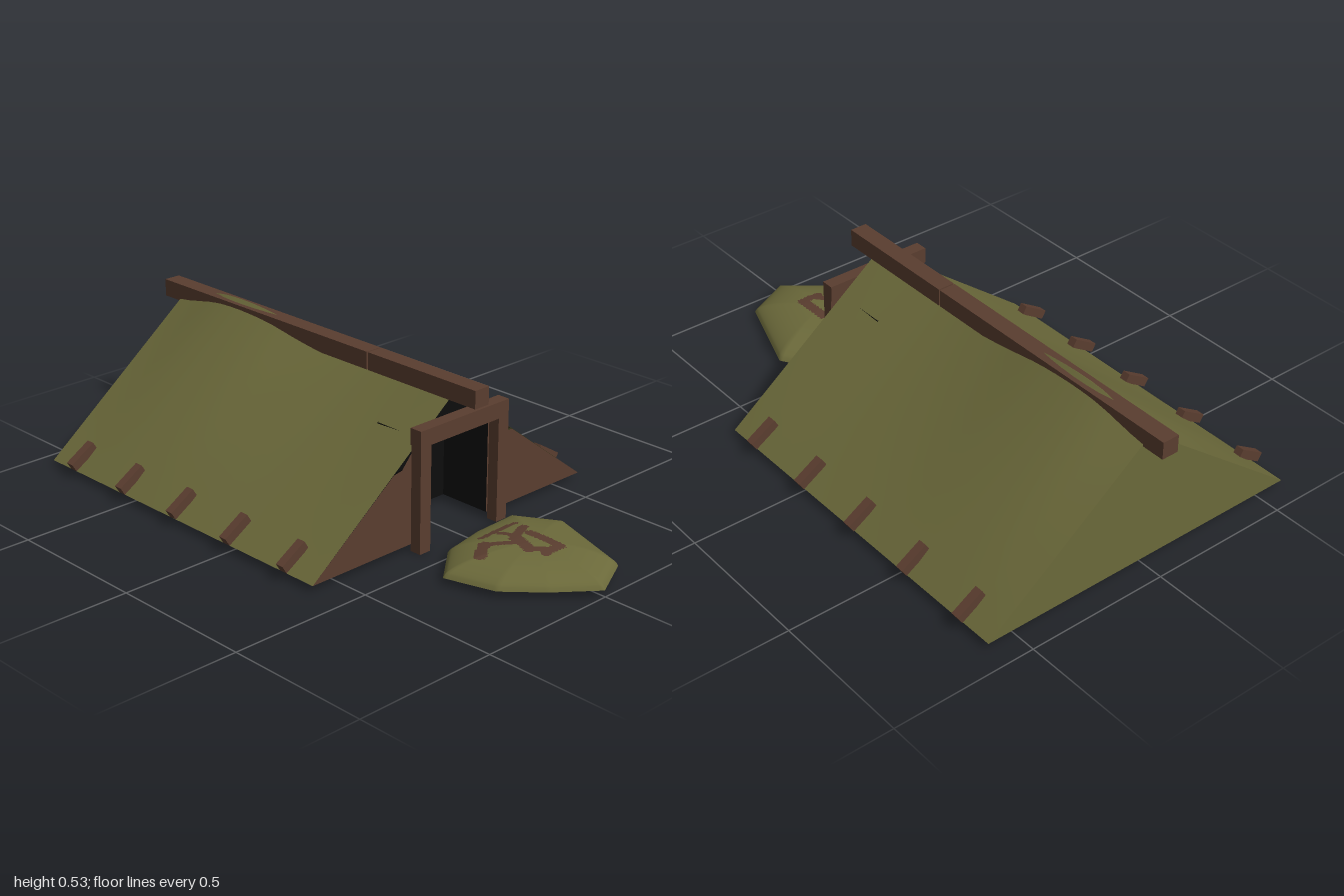
import * as THREE from 'three';

const flat = (name, color) => {
  const m = new THREE.MeshStandardMaterial({ color, side: THREE.DoubleSide });
  m.name = name;
  return m;
};

export function createModel() {
  const group = new THREE.Group();
  const olive = flat('olive cloth', 0x6b693a);
  const brown = flat('brown wood', 0x5a3d2f);
  const black = flat('dark interior', 0x0d0d0d);

  const add = (name, geometry, material, x = 0, y = 0, z = 0) => {
    const mesh = new THREE.Mesh(geometry, material);
    mesh.name = name;
    mesh.position.set(x, y, z);
    group.add(mesh);
    return mesh;
  };
  const box = (name, w, h, d, x, y, z, mat = brown) =>
    add(name, new THREE.BoxGeometry(w, h, d), mat, x, y, z);
  const panel = (name, points, z, mat) =>
    add(name, new THREE.ShapeGeometry(new THREE.Shape(points.map(p => new THREE.Vector2(...p)))), mat, 0, 0, z);

  // Wavy ridge line, evenly spaced from front to back
  const front = 0.38, back = -0.92, base = 0.02, half = 0.6;
  const ridge = new THREE.SplineCurve(
    [0.478, 0.466, 0.466, 0.487, 0.52, 0.523, 0.485].map((y, i) => new THREE.Vector2(i, y)));

  // Roof slopes
  for (const s of [-1, 1]) {
    const geo = new THREE.PlaneGeometry(1, 1, 6, 24);
    const p = geo.attributes.position;
    for (let i = 0; i < p.count; i++) {
      const u = p.getX(i) + 0.5, v = p.getY(i) + 0.5;
      const h = ridge.getPoint(v).y;
      p.setXYZ(i, s * half * u, base + (h - base) * (1 - u), front + (back - front) * v);
    }
    geo.computeVertexNormals();
    add(s > 0 ? 'leftRoofSlope' : 'rightRoofSlope', geo, olive);
  }

  // Gable ends
  panel('backWall', [[-half, base], [half, base], [0, 0.485]], back, olive);
  panel('upperFrontGap', [[0.15, 0.36], [0.15, 0.28], [0.257, 0.28], [0, 0.476],
    [-0.257, 0.28], [-0.15, 0.28], [-0.15, 0.36]], front - 0.003, black);
  for (const s of [-1, 1]) {
    panel('frontWall', [[s * 0.15, base], [s * half, base], [s * 0.265, 0.274],
      [s * 0.23, 0.28], [s * 0.19, 0.325], [s * 0.15, 0.33]], front, brown);
  }

  // Dark entrance recess, open at the front and below
  const recessY = 0.19, recessH = 0.34, recessD = 0.19;
  add('recessBack', new THREE.PlaneGeometry(0.3, recessH), black, 0, recessY, front - recessD);
  for (const s of [-1, 1]) {
    add('recessSide', new THREE.PlaneGeometry(recessD, recessH), black, s * 0.15, recessY, front - recessD / 2)
      .rotation.y = Math.PI / 2;
  }
  add('recessTop', new THREE.PlaneGeometry(0.3, recessD), black, 0, 0.355, front - recessD / 2)
    .rotation.x = Math.PI / 2;

  // Door frame
  for (const s of [-1, 1]) box('doorPost', 0.045, 0.36, 0.04, s * 0.1725, 0.18, 0.405);
  box('doorLintel', 0.39, 0.055, 0.045, 0, 0.3825, 0.4025);

  // Ridge beam in two lengths with a narrow joint
  box('frontRidgeBeam', 0.06, 0.06, 0.467, 0, 0.485, 0.2565);
  box('backRidgeBeam', 0.06, 0.06, 1.018, 0, 0.485, -0.491);

  // Pegs holding down the cloth
  for (const s of [-1, 1]) {
    for (let i = 0; i < 5; i++) {
      box('peg', 0.105, 0.031, 0.03, s * 0.57, 0.066, 0.257 - i * 0.263).rotation.z = -s * 0.55;
    }
  }

  // Low mound: domed shell over an irregular outline
  const outline = [[-0.285, 0.61], [-0.15, 0.5], [0, 0.472], [0.17, 0.465], [0.26, 0.615],
    [0.155, 0.92], [0, 0.997], [-0.13, 0.89], [-0.235, 0.78]];
  const centre = [0, 0.72], rings = 40, steps = 16;
  // Bare-earth strokes: x1, z1, x2, z2, half width
  const strokes = [
    [-0.07, 0.567, 0.07, 0.572, 0.012], [-0.17, 0.655, -0.11, 0.61, 0.02],
    [-0.11, 0.615, -0.05, 0.68, 0.013], [-0.03, 0.66, 0.06, 0.62, 0.016],
    [-0.02, 0.575, -0.01, 0.65, 0.01], [-0.02, 0.66, -0.05, 0.74, 0.02],
    [0.035, 0.67, 0.035, 0.79, 0.018], [-0.05, 0.74, -0.02, 0.77, 0.015],
    [-0.03, 0.79, 0.035, 0.79, 0.017],
  ];
  const isEarth = (x, z) => strokes.some(([x1, z1, x2, z2, r]) => {
    const dx = x2 - x1, dz = z2 - z1;
    const t = THREE.MathUtils.clamp(((x - x1) * dx + (z - z1) * dz) / (dx * dx + dz * dz), 0, 1);
    return Math.hypot(x - x1 - t * dx, z - z1 - t * dz) < r;
  });

  const count = outline.length * steps, verts = [], clothFaces = [], earthFaces = [];
  for (let r = 0; r <= rings; r++) {
    const t = r / rings;
    for (let i = 0; i < count; i++) {
      const k = Math.floor(i / steps), f = (i % steps) / steps;
      const a = outline[k], b = outline[(k + 1) % outline.length];
      const [x, z] = [0, 1].map(j => centre[j] + (a[j] + (b[j] - a[j]) * f - centre[j]) * t);
      verts.push(x, base + 0.066 * Math.pow(1 - t * t, 0.6), z);
    }
  }
  for (let r = 0; r < rings; r++) {
    for (let i = 0; i < count; i++) {
      const j = (i + 1) % count;
      const a = r * count + i, b = r * count + j, c = a + count, d = b + count;
      const mx = (verts[a * 3] + verts[d * 3]) / 2, mz = (verts[a * 3 + 2] + verts[d * 3 + 2]) / 2;
      const faces = isEarth(mx, mz) ? earthFaces : clothFaces;
      faces.push(c, b, a, c, d, b);
    }
  }
  // Outline runs clockwise from above, so corners are reversed to face outward
  const mound = new THREE.BufferGeometry();
  mound.setAttribute('position', new THREE.Float32BufferAttribute(verts, 3));
  mound.setIndex([...clothFaces, ...earthFaces].reverse());
  mound.addGroup(0, earthFaces.length, 1);
  mound.addGroup(earthFaces.length, clothFaces.length, 0);
  mound.computeVertexNormals();
  // The innermost ring shares one point, so its normals point straight up
  for (let i = 0; i < count; i++) mound.attributes.normal.setXYZ(i, 0, 1, 0);
  add('mound', mound, [olive, brown]);

  return group;
}
